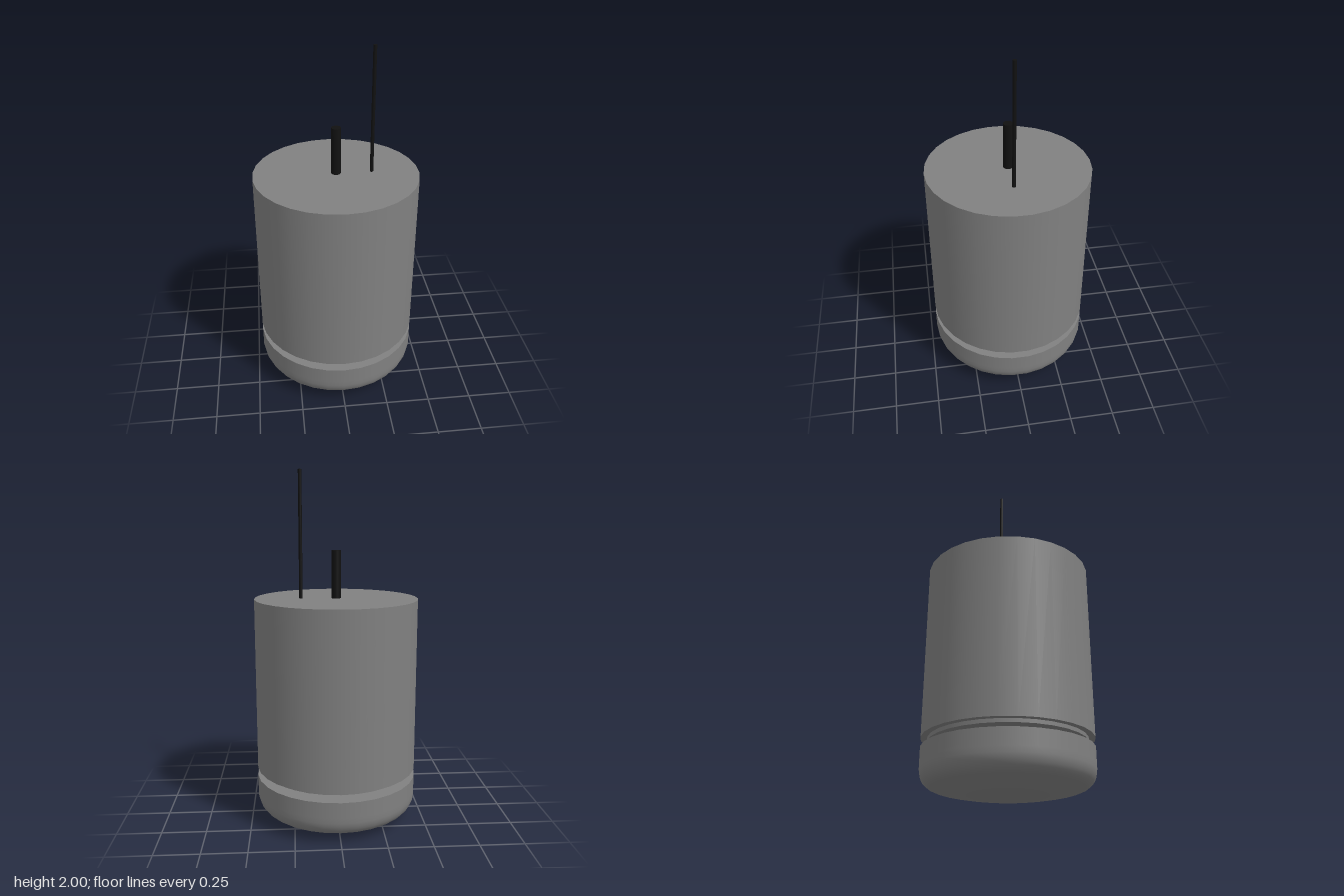
import * as THREE from 'three';

const SIDES = 30;
const R = 0.465;

export function createModel() {
  const group = new THREE.Group();
  const grey = new THREE.MeshStandardMaterial({ color: 0x808080 });
  const black = new THREE.MeshStandardMaterial({ color: 0x111111 });

  const add = (name, geometry, material) => {
    const mesh = new THREE.Mesh(geometry, material);
    mesh.name = name;
    group.add(mesh);
    return mesh;
  };

  // Upright cylinder between two heights
  const post = (name, radius, y0, y1, material, x = 0, sides = SIDES) => {
    const mesh = add(name, new THREE.CylinderGeometry(radius, radius, y1 - y0, sides), material);
    mesh.position.set(x, (y0 + y1) / 2, 0);
  };

  // Main can, stepped collar and recessed neck
  post('body', R, 0.30, 1.29, grey);
  post('collar', 0.43, 0.28, 0.30, grey);
  post('neck', 0.35, 0.25, 0.28, grey);

  // Base: shallow dome blending through a rounded edge into a straight wall
  const profile = [];
  for (let i = 0; i <= 8; i++) {
    const r = 0.4 * i / 8;
    profile.push(new THREE.Vector2(r, 0.045 * (r / 0.4) ** 2));
  }
  const edge = new THREE.QuadraticBezierCurve(
    new THREE.Vector2(0.4, 0.045), new THREE.Vector2(0.457, 0.062), new THREE.Vector2(R, 0.13));
  profile.push(...edge.getPoints(6).slice(1), new THREE.Vector2(R, 0.16), new THREE.Vector2(R, 0.25));
  add('base', new THREE.LatheGeometry(profile, SIDES), grey);

  // Flat top face of the base, visible in the groove
  const rim = [new THREE.Vector2(R, 0.25), new THREE.Vector2(0, 0.25)];
  add('baseTop', new THREE.LatheGeometry(rim, SIDES), grey);

  // Central pin and offset thin rod
  post('centrePin', 0.027, 1.29, 1.56, black);
  post('thinRod', 0.01, 1.29, 2.0, black, 0.2, 16);

  return group;
}
